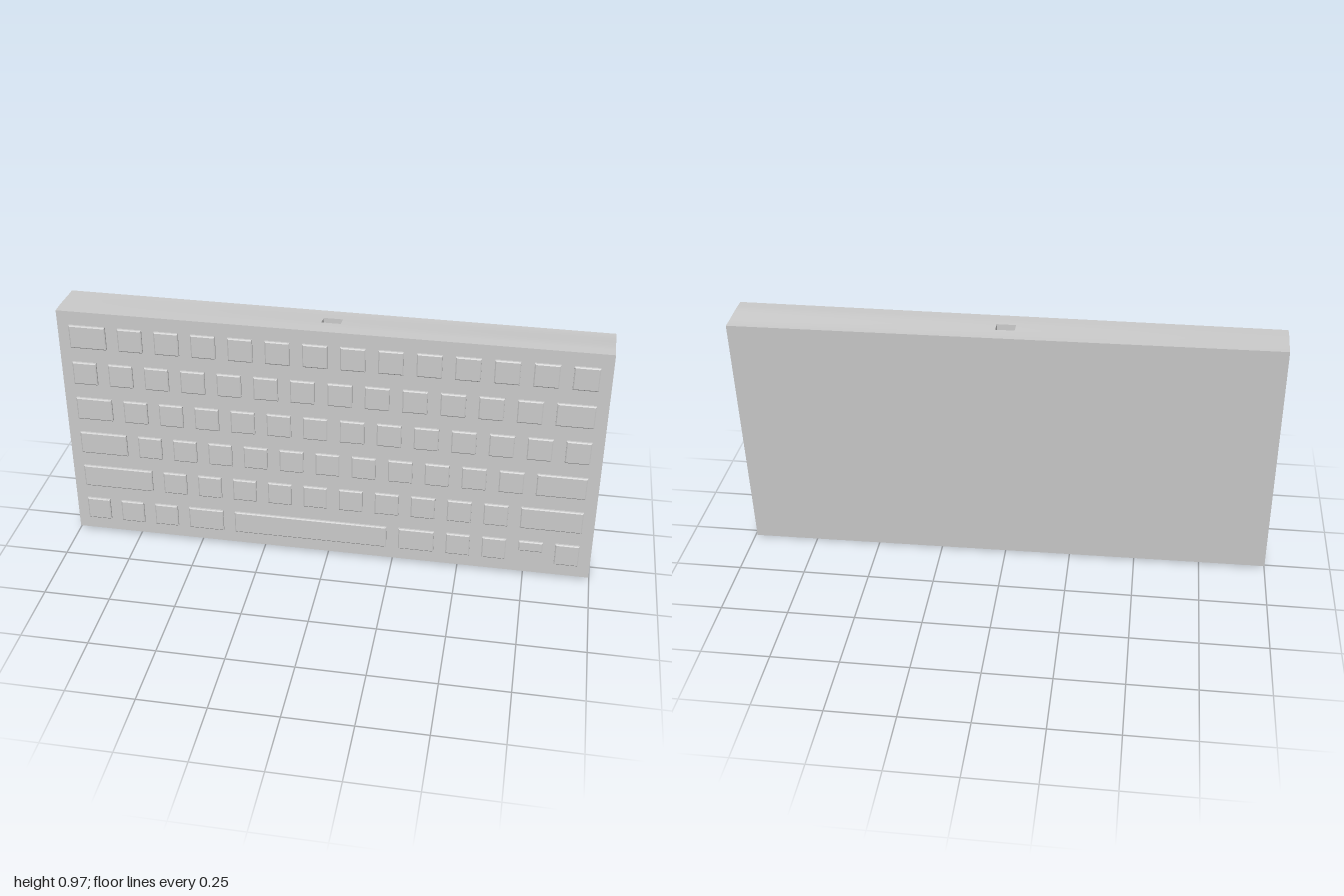
import * as THREE from 'three';
import { ParametricGeometry } from 'three/addons/geometries/ParametricGeometry.js';

const material = new THREE.MeshStandardMaterial({ color: 0xcccccc });
const mix = THREE.MathUtils.lerp;

// Back corners of the case, slightly twisted against the front: [x, y, z]
const BACK = {
  leftLow: [-1, 0.011, -0.022], rightLow: [0.993, 0, -0.03],
  leftTop: [-0.993, 0.966, -0.084], rightTop: [1, 0.957, -0.094],
};

// Point in the case: a across, b up, t from front (0) to back (1)
function casePoint(a, b, t) {
  const back = [0, 1, 2].map((i) => mix(
    mix(BACK.leftLow[i], BACK.rightLow[i], a),
    mix(BACK.leftTop[i], BACK.rightTop[i], a), b));
  const s = THREE.MathUtils.smoothstep(t, 0.2, 1);
  return [
    mix(mix(-0.997, 0.997, a), back[0], s),
    mix(mix(0.013, 0.967, b), back[1], s),
    mix(0.085, back[2], t),
  ];
}

function patch(name, point, nu = 1, nv = 1) {
  const geometry = new ParametricGeometry((u, v, out) => out.set(...point(u, v)), nu, nv);
  const mesh = new THREE.Mesh(geometry, material);
  mesh.name = name;
  return mesh;
}

function buildCase() {
  const group = new THREE.Group();
  group.name = 'case';
  group.add(
    patch('frontPlate', (u, v) => casePoint(u, v, 0)),
    patch('backPlate', (u, v) => casePoint(v, u, 1), 6, 6),
    patch('leftSide', (u, v) => casePoint(1, v, u), 10, 6),
    patch('rightSide', (u, v) => casePoint(0, u, v), 6, 10),
    patch('bottomSide', (u, v) => casePoint(v, 0, u), 10, 6),
  );

  // Top side in strips around the cable port
  const [a0, a1, t0, t1] = [0.4825, 0.5175, 0.41, 0.64];
  const strips = [[0, a0, 0, 1], [a1, 1, 0, 1], [a0, a1, 0, t0], [a0, a1, t1, 1]];
  for (const [l, r, f, k] of strips) {
    group.add(patch('topSide', (u, v) => casePoint(mix(l, r, u), 1, mix(f, k, v)), 3, 10));
  }

  // Cable port pocket
  const sunk = (a, t, depth) => {
    const [x, y, z] = casePoint(a, 1, t);
    return [x, y - depth, z];
  };
  const DEPTH = 0.04;
  const rim = [[a0, t0], [a1, t0], [a1, t1], [a0, t1]];
  rim.forEach(([a, t], i) => {
    const [c, d] = rim[(i + 1) % 4];
    group.add(patch('portWall', (u, v) => sunk(mix(a, c, v), mix(t, d, v), u * DEPTH)));
  });
  group.add(patch('portFloor', (u, v) => sunk(mix(a0, a1, u), mix(t0, t1, v), DEPTH)));
  for (const child of group.children) {
    if (child.name === 'portWall') {
      child.material = material.clone();
      child.material.side = THREE.DoubleSide;
    }
  }
  return group;
}

// Keycap with a small chamfer round its face
function buildKey(x, y, w, h) {
  const c = 0.004;
  const shape = new THREE.Shape();
  shape.moveTo(-w / 2 + c, -h / 2 + c);
  shape.lineTo(w / 2 - c, -h / 2 + c);
  shape.lineTo(w / 2 - c, h / 2 - c);
  shape.lineTo(-w / 2 + c, h / 2 - c);
  const geometry = new THREE.ExtrudeGeometry(shape, {
    depth: 0.011, bevelEnabled: true, bevelSize: c, bevelThickness: 0.003, bevelSegments: 1,
  });
  const key = new THREE.Mesh(geometry, material);
  key.name = 'key';
  key.position.set(x, y, 0.081);
  return key;
}

function buildKeys() {
  const group = new THREE.Group();
  group.name = 'keys';
  const U = 0.09, GAP = 0.0462, START = -0.953;
  const units = (n) => Array(n).fill(U);
  // Key widths in each row, from the top row down
  const rows = [
    [0.136, ...units(13)],
    [...units(13), 0.136],
    [0.136, ...units(13)],
    [0.181, ...units(11), 0.181],
    [0.27, ...units(10), 0.228],
    [U, U, U, 0.135, 0.59, 0.135, U, U, U, U],
  ];
  rows.forEach((widths, r) => {
    const y = 0.868 - r * 0.1514;
    let x = START;
    widths.forEach((w, i) => {
      const half = r === 5 && i === 8; // half-height key
      group.add(buildKey(x + w / 2, half ? y + 0.024 : y, w, half ? 0.043 : 0.091));
      x += w + GAP;
    });
  });
  return group;
}

export function createModel() {
  const model = new THREE.Group();
  model.name = 'keyboard';
  model.add(buildCase(), buildKeys());
  return model;
}
